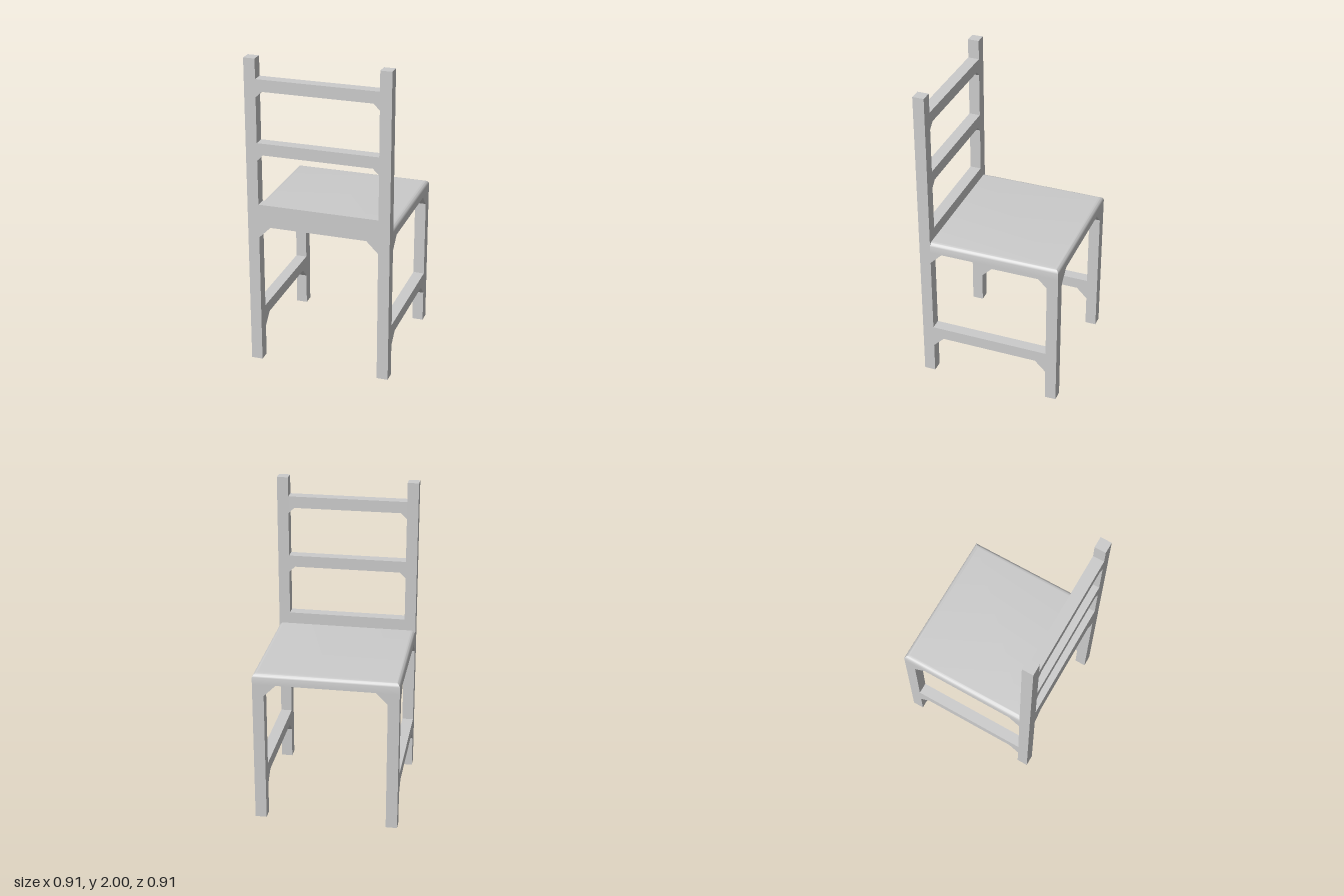
import * as THREE from 'three';
import { toCreasedNormals } from 'three/addons/utils/BufferGeometryUtils.js';

const OUT = 0.455, IN = 0.383, T = OUT - IN, MID = (OUT + IN) / 2;
const SEAT_TOP = 1.0, SEAT_BOTTOM = 0.93;
const mat = new THREE.MeshStandardMaterial({ color: 0xcccccc });

function add(parent, name, geo, x = 0, y = 0, z = 0) {
  const mesh = new THREE.Mesh(geo, mat);
  mesh.name = name;
  mesh.position.set(x, y, z);
  parent.add(mesh);
  return mesh;
}

// Extrudes an outline by the leg thickness, centred on its plane
function slab(points) {
  const shape = new THREE.Shape(points.map(p => new THREE.Vector2(...p)));
  return new THREE.ExtrudeGeometry(shape, { depth: T, bevelEnabled: false }).translate(0, 0, -T / 2);
}

// Rail between two legs with a sloped bracket of size b under each end
const railGeometry = (bottom, top, b) => slab([
  [-IN, top], [-IN, bottom - b], [-IN + b, bottom],
  [IN - b, bottom], [IN, bottom - b], [IN, top],
]);

// Seat: rectangular rings rising to an edge rounded on three sides, square at the backrest
function seatGeometry() {
  const r = 0.03, steps = 8, pos = [];
  const ring = (inset, y) => {
    const h = OUT - inset;
    return [[-h, y, IN], [h, y, IN], [h, y, -h], [-h, y, -h]];
  };
  const quad = (a, b, c, d) => pos.push(...a, ...b, ...c, ...a, ...c, ...d);
  const rings = [ring(0, SEAT_BOTTOM)];
  for (let i = 0; i <= steps; i++) {
    const t = (i / steps) * Math.PI / 2;
    rings.push(ring(r * (1 - Math.cos(t)), SEAT_TOP - r + r * Math.sin(t)));
  }
  for (let k = 0; k < rings.length - 1; k++) {
    for (let i = 0; i < 4; i++) {
      const j = (i + 1) % 4;
      quad(rings[k][i], rings[k][j], rings[k + 1][j], rings[k + 1][i]);
    }
  }
  quad(...rings[rings.length - 1]);
  quad(...rings[0].slice().reverse());
  const geo = new THREE.BufferGeometry();
  geo.setAttribute('position', new THREE.Float32BufferAttribute(pos, 3));
  return toCreasedNormals(geo, 0.5);
}

export function createModel() {
  const chair = new THREE.Group();
  chair.name = 'chair';

  add(chair, 'seat', seatGeometry());

  // Backrest rails
  add(chair, 'lowerBackRail', railGeometry(0.93, 1.075, 0.075), 0, 0, MID);
  add(chair, 'middleBackRail', railGeometry(1.40, 1.475, 0.038), 0, 0, MID);
  add(chair, 'topBackRail', railGeometry(1.80, 1.875, 0.038), 0, 0, MID);

  // Triangular bracket under the seat, pointing along +x from its corner
  const b = 0.075;
  const bracket = slab([[0, 0], [0, -b], [b, 0]]);

  for (const s of [-1, 1]) {
    const side = s > 0 ? 'left' : 'right';
    add(chair, side + 'BackPost', new THREE.BoxGeometry(T, 2, T), s * MID, 1, MID);
    add(chair, side + 'FrontLeg', new THREE.BoxGeometry(T, SEAT_BOTTOM, T), s * MID, SEAT_BOTTOM / 2, -MID);

    // Low side stretcher
    add(chair, side + 'Stretcher', railGeometry(0.275, 0.35, 0.07), s * MID).rotation.y = Math.PI / 2;

    // Seat brackets along the sides and the free edge
    for (const e of [-1, 1]) {
      add(chair, side + 'SideBracket', bracket, s * MID, SEAT_BOTTOM, e * IN).rotation.y = e * Math.PI / 2;
    }
    add(chair, side + 'FrontBracket', bracket, s * IN, SEAT_BOTTOM, -MID).rotation.y = s > 0 ? Math.PI : 0;
  }
  return chair;
}
